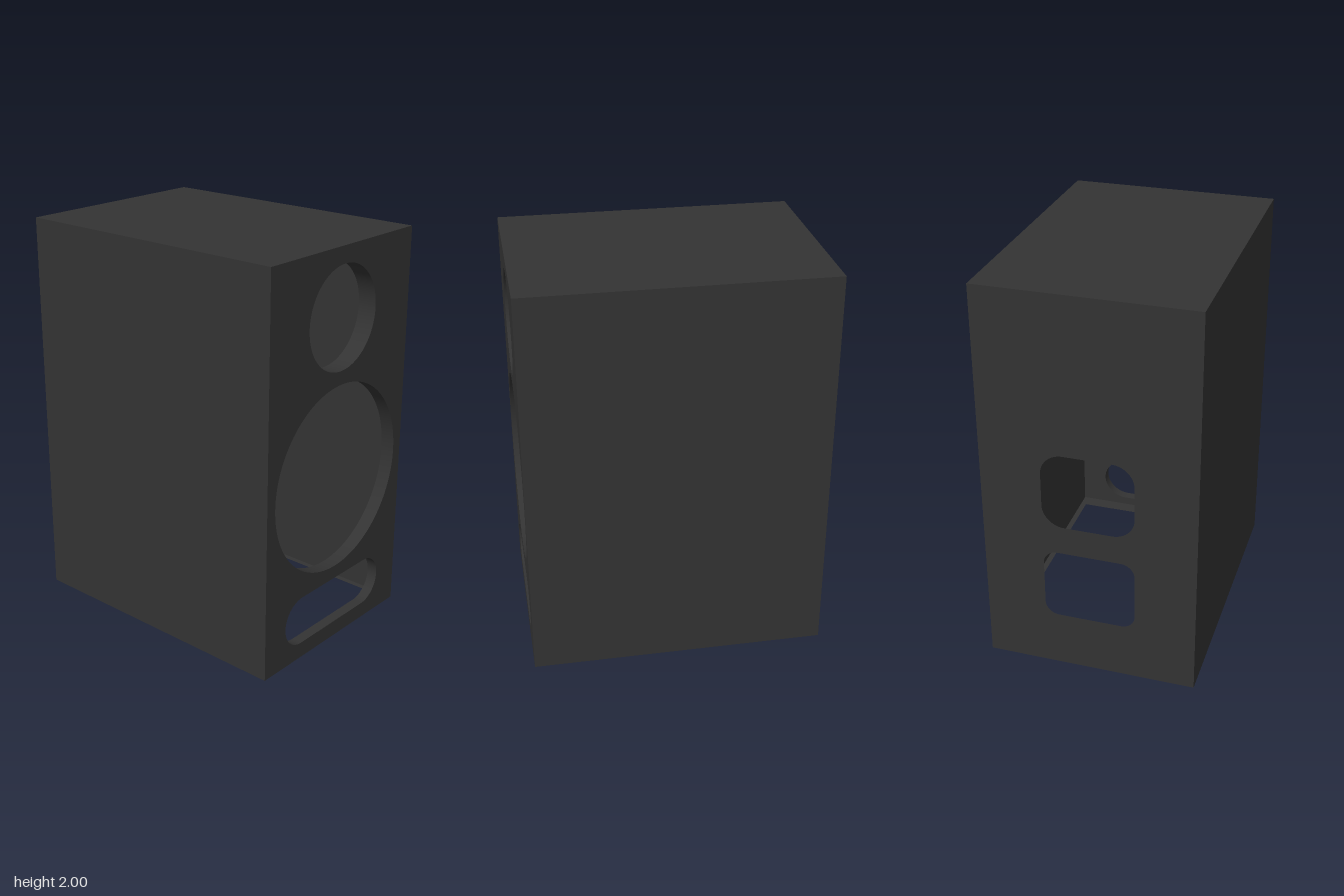
import * as THREE from 'three';

const W = 1.056, H = 2, D = 1.476;
const material = new THREE.MeshStandardMaterial({ color: 0x333333, side: THREE.DoubleSide });

function add(parent, name, geometry) {
  const mesh = new THREE.Mesh(geometry, material);
  mesh.name = name;
  parent.add(mesh);
  return mesh;
}

// Rounded rectangle outline centred on (x, y); a full radius gives a circle or slot
function rounded(x, y, w, h, r, Type = THREE.Path) {
  const p = new Type(), a = w / 2 - r, b = h / 2 - r, q = Math.PI / 2;
  [[a, b], [-a, b], [-a, -b], [a, -b]].forEach(([dx, dy], i) =>
    p.absarc(x + dx, y + dy, r, i * q, (i + 1) * q, false));
  p.closePath();
  return p;
}

// Flat rectangular panel with openings; origin at the middle of its lower edge
function panel(w, h, holes = []) {
  const s = new THREE.Shape();
  s.moveTo(-w / 2, 0).lineTo(w / 2, 0).lineTo(w / 2, h).lineTo(-w / 2, h).closePath();
  s.holes.push(...holes);
  return new THREE.ShapeGeometry(s, 16);
}

// Wall running backwards from the edge of an opening, facing into the opening
function rim(path, depth) {
  const pts = path.getPoints(16), pos = [], index = [];
  pts.forEach((p, i) => {
    pos.push(p.x, p.y, 0, p.x, p.y, -depth);
    if (i) {
      const k = 2 * i;
      index.push(k - 2, k - 1, k, k, k - 1, k + 1);
    }
  });
  const g = new THREE.BufferGeometry();
  g.setAttribute('position', new THREE.Float32BufferAttribute(pos, 3));
  g.setIndex(index);
  g.computeVertexNormals();
  return g;
}

export function createModel() {
  const model = new THREE.Group();
  model.name = 'speakerCabinet';

  // Front baffle with tweeter, woofer and port openings
  const openings = [
    ['tweeterRim', rounded(0, 1.663, 0.506, 0.506, 0.253), 0.095],
    ['wooferRim', rounded(0, 0.87, 0.944, 0.944, 0.472), 0.07],
    ['portRim', rounded(0, 0.205, 0.754, 0.25, 0.125), 0.053],
  ];
  add(model, 'frontBaffle', panel(W, H, openings.map(o => o[1]))).position.z = D / 2;
  for (const [name, path, depth] of openings) {
    add(model, name, rim(path, depth)).position.z = D / 2;
  }

  // Back panel with two rounded cutouts
  const back = add(model, 'backPanel', panel(W, H, [
    rounded(0, 1.008, 0.454, 0.39, 0.11),
    rounded(0, 0.48, 0.454, 0.37, 0.07),
  ]));
  back.position.z = -D / 2;
  back.rotation.y = Math.PI;

  // Side panels
  for (const [name, s] of [['leftSide', 1], ['rightSide', -1]]) {
    const side = add(model, name, panel(D, H));
    side.position.x = s * W / 2;
    side.rotation.y = s * Math.PI / 2;
  }

  // Top panel
  const top = add(model, 'topPanel', panel(W, D));
  top.position.set(0, H, D / 2);
  top.rotation.x = -Math.PI / 2;

  // Bottom frame around a large opening
  const cut = rounded(0, D / 2, W - 0.06, D - 0.15, 0.001);
  const bottom = add(model, 'bottomFrame', panel(W, D, [cut]));
  bottom.position.z = -D / 2;
  bottom.rotation.x = Math.PI / 2;

  // The cabinet stands turned on its vertical axis
  model.rotation.y = Math.atan2(1.34, 0.62);
  return model;
}
